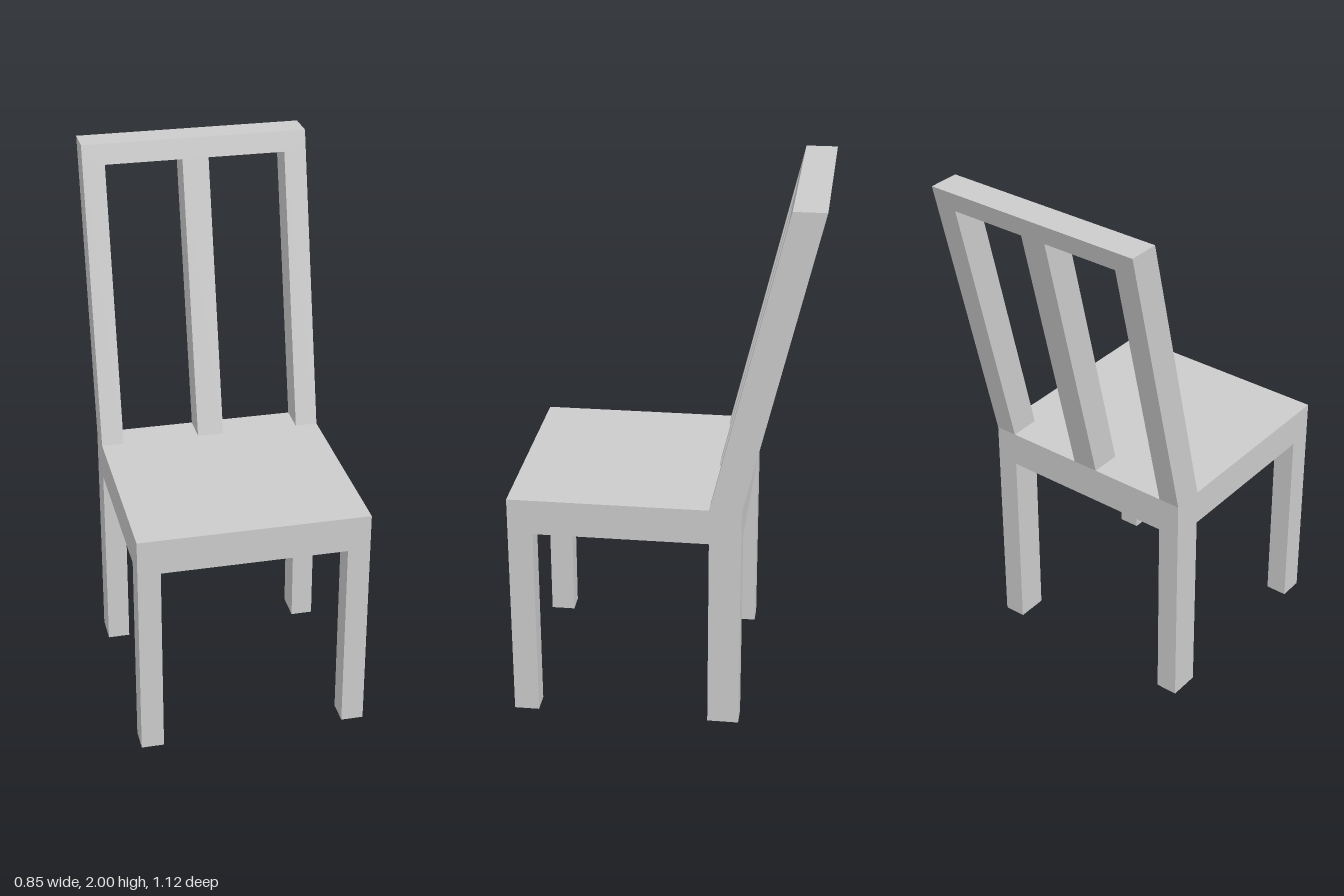
import * as THREE from 'three';

const W = 0.427;         // half width
const POST = 0.084;      // width of legs and back posts
const SEAT_LOW = 0.75, SEAT_TOP = 0.885, TOP = 2;
const FRONT = 0.56, REAR = -0.295;
const BACK_DEPTH = 0.117, LEAN = 0.267;

export function createModel() {
  const chair = new THREE.Group();
  chair.name = 'chair';
  const material = new THREE.MeshStandardMaterial({ color: 0xcccccc, flatShading: true });

  const add = (name, geometry) => {
    const mesh = new THREE.Mesh(geometry, material);
    mesh.name = name;
    chair.add(mesh);
  };
  // Box given by its lower and upper corners
  const block = (name, x0, x1, y0, y1, z0, z1) =>
    add(name, new THREE.BoxGeometry(x1 - x0, y1 - y0, z1 - z0)
      .translate((x0 + x1) / 2, (y0 + y1) / 2, (z0 + z1) / 2));

  block('seat', -W, W, SEAT_LOW, SEAT_TOP, REAR, FRONT);

  // Front legs and the deeper back legs
  for (const [side, x] of [['left', W - POST], ['right', -W]]) {
    block(side + 'FrontLeg', x, x + POST, 0, SEAT_LOW, FRONT - 0.093, FRONT);
    block(side + 'BackLeg', x, x + POST, 0, SEAT_LOW, REAR, REAR + BACK_DEPTH);
  }

  // Backrest: two posts, a centre slat and a top rail in one comb outline
  const rail = 1.925, inner = W - POST, slat = 0.05;
  const outline = new THREE.Shape([
    [-W, SEAT_TOP], [-inner, SEAT_TOP], [-inner, rail], [-slat, rail],
    [-slat, SEAT_TOP], [slat, SEAT_TOP], [slat, rail], [inner, rail],
    [inner, SEAT_TOP], [W, SEAT_TOP], [W, TOP], [-W, TOP],
  ].map(([x, y]) => new THREE.Vector2(x, y)));
  const back = new THREE.ExtrudeGeometry(outline, { depth: BACK_DEPTH, bevelEnabled: false });

  // Shear the backrest so it leans backwards with a level top
  const p = back.attributes.position;
  for (let i = 0; i < p.count; i++) {
    const t = (p.getY(i) - SEAT_TOP) / (TOP - SEAT_TOP);
    p.setZ(i, p.getZ(i) + REAR - LEAN * t);
  }
  back.computeVertexNormals();
  add('backrest', back);

  return chair;
}
